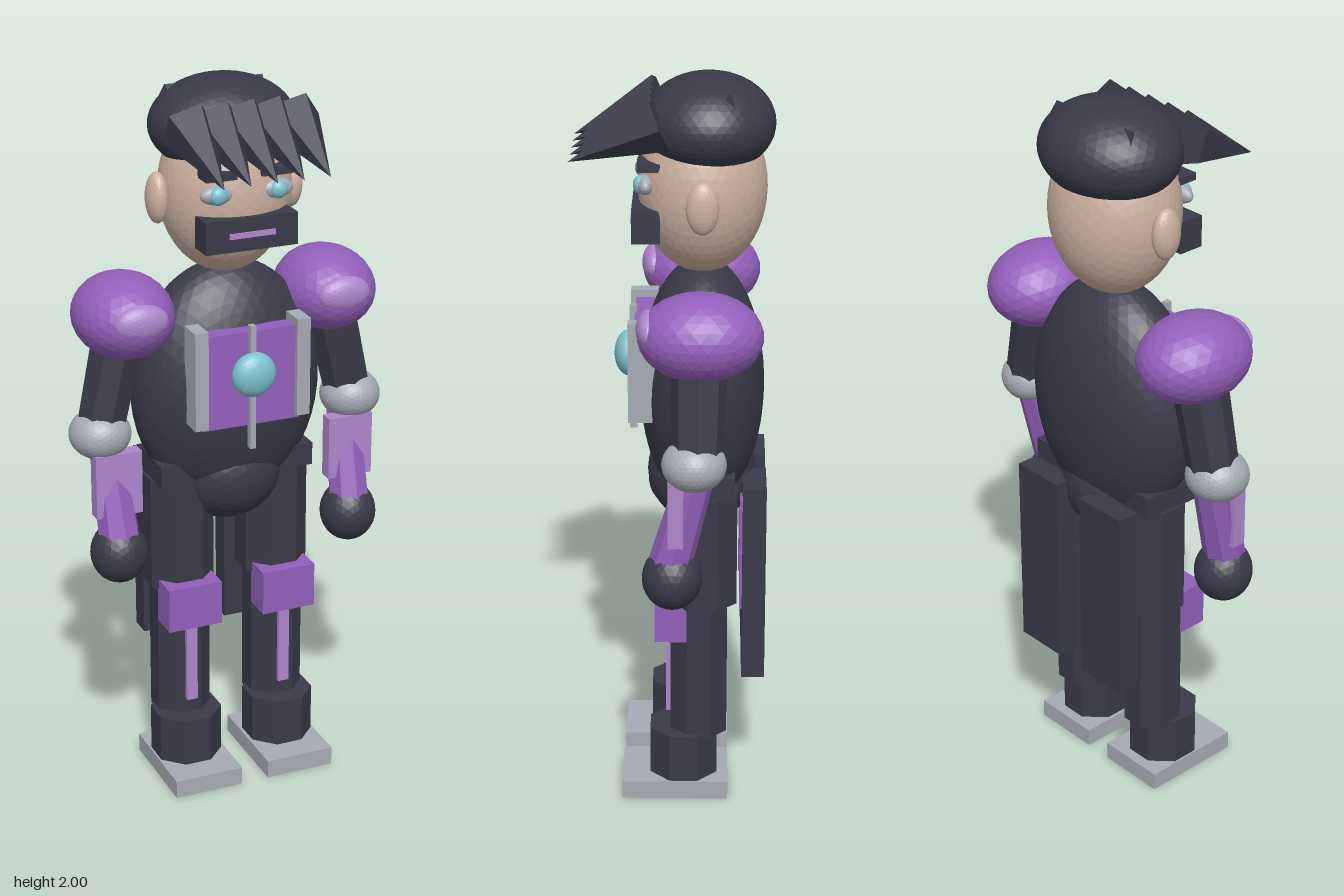
import * as THREE from 'three';

const mat = (name, color) => {
  const m = new THREE.MeshStandardMaterial({ color });
  m.name = name;
  return m;
};

export function createModel() {
  const model = new THREE.Group();
  const dark = mat('charcoal', 0x3a3a48);
  const purple = mat('purple', 0x925fba);
  const lilac = mat('lilac', 0xad86cc);
  const steel = mat('steel', 0xa6aab2);
  const skin = mat('skin', 0xcbb09f);
  const cyan = mat('cyan', 0x7dc0cd);

  const V = (p) => new THREE.Vector3(...p);

  function add(name, geometry, material, pos) {
    const m = new THREE.Mesh(geometry, material);
    m.name = name;
    m.position.set(...pos);
    model.add(m);
    return m;
  }
  // faceted geometry
  function flat(g) {
    const f = g.index ? g.toNonIndexed() : g;
    f.computeVertexNormals();
    return f;
  }
  // faceted ellipsoid
  function blob(name, material, pos, r, detail = 5) {
    const g = new THREE.IcosahedronGeometry(1, detail);
    g.scale(...r);
    return add(name, flat(g), material, pos);
  }
  // box from its lower and upper corners
  function box(name, material, a, b) {
    const size = a.map((v, i) => Math.abs(b[i] - v));
    return add(name, new THREE.BoxGeometry(...size), material, a.map((v, i) => (v + b[i]) / 2));
  }
  // tapered prism running from a to b
  function rod(name, material, a, b, ra, rb, sides = 8, turn = 0) {
    const dir = V(b).sub(V(a));
    const g = new THREE.CylinderGeometry(rb, ra, dir.length(), sides);
    g.rotateY(turn);
    const m = add(name, flat(g), material, a.map((v, i) => (v + b[i]) / 2));
    m.quaternion.setFromUnitVectors(new THREE.Vector3(0, 1, 0), dir.normalize());
    return m;
  }

  // Head, hair and mask
  blob('head', skin, [0, 1.70, -0.08], [0.18, 0.23, 0.17], 7);
  blob('hair', dark, [0, 1.87, -0.095], [0.2, 0.13, 0.175], 7);
  for (let i = -2; i <= 2; i++) {
    const x = i * 0.073;
    rod('fringeSpike', dark, [x, 1.9, 0.03], [x, 1.8, 0.265], 0.075, 0, 5, 0.3);
  }
  for (const x of [-0.1, 0, 0.1]) {
    rod('crownSpike', dark, [x, 1.92, -0.17], [x, 1.86, -0.02], 0.068, 0, 5);
  }
  box('faceMask', dark, [-0.13, 1.577, 0.03], [0.13, 1.665, 0.105]);
  box('maskStrip', lilac, [-0.065, 1.613, 0.102], [0.065, 1.628, 0.109]);

  // Torso, belt and hips
  blob('torso', dark, [0, 1.15, -0.08], [0.27, 0.35, 0.168], 8);
  box('belt', dark, [-0.225, 0.895, -0.17], [0.225, 0.96, 0.01]);
  blob('pelvis', dark, [0, 0.9, -0.08], [0.16, 0.15, 0.147]);

  // Chest plate with its gem
  box('chestPlate', purple, [-0.14, 1.085, 0.05], [0.14, 1.35, 0.1]);
  box('chestRod', steel, [-0.008, 1.02, 0.095], [0.008, 1.37, 0.115]);
  blob('chestGem', cyan, [0, 1.235, 0.118], [0.062, 0.062, 0.038]);

  for (const s of [-1, 1]) {
    // Face details
    blob('ear', skin, [s * 0.192, 1.69, -0.08], [0.03, 0.07, 0.043], 4);
    blob('eyeWhite', steel, [s * 0.083, 1.725, 0.068], [0.048, 0.026, 0.022], 4);
    blob('iris', cyan, [s * 0.085, 1.725, 0.081], [0.025, 0.025, 0.02], 4);
    box('brow', dark, [s * 0.035, 1.766, 0.03], [s * 0.122, 1.786, 0.09]);
    box('chestBar', steel, [s * 0.128, 1.095, 0.04], [s * 0.166, 1.37, 0.115]);

    // Arm
    blob('shoulderPad', purple, [s * 0.295, 1.382, -0.077], [0.136, 0.115, 0.163], 4);
    blob('shoulderHighlight', lilac, [s * 0.292, 1.4, 0.055], [0.075, 0.05, 0.034], 4);
    rod('upperArm', dark, [s * 0.37, 1.06, -0.07], [s * 0.3, 1.37, -0.075], 0.068, 0.075);
    blob('elbow', steel, [s * 0.372, 1.06, -0.062], [0.085, 0.07, 0.085], 5);
    rod('forearm', purple, [s * 0.345, 0.77, 0], [s * 0.355, 1.04, -0.072], 0.058, 0.048);
    box('forearmPlate', lilac, [s * 0.278, 0.838, -0.035], [s * 0.41, 1.018, 0.006]);
    blob('hand', dark, [s * 0.345, 0.728, -0.005], [0.079, 0.087, 0.08], 4);

    // Leg
    const x = s * 0.142;
    const oct = Math.PI / 8;
    rod('thigh', dark, [x, 0.575, -0.085], [x, 0.9, -0.085], 0.1, 0.1, 8, oct);
    rod('shin', dark, [x, 0.18, -0.075], [x, 0.6, -0.075], 0.084, 0.084, 8, oct);
    rod('boot', dark, [x, 0.04, -0.034], [x, 0.19, -0.034], 0.1, 0.1, 8, oct);
    box('sole', steel, [s * 0.04, 0, -0.157], [s * 0.24, 0.052, 0.135]);
    box('kneePad', purple, [s * 0.063, 0.475, -0.042], [s * 0.22, 0.603, 0.045]);
    box('shinStripe', lilac, [s * 0.125, 0.233, -0.01], [s * 0.157, 0.476, 0.015]);

    // Coat tail
    box('coatTail', dark, [s * 0.045, 0.363, -0.255], [s * 0.205, 0.92, -0.192]);
    box('coatTailLining', purple, [s * 0.085, 0.55, -0.193], [s * 0.165, 0.87, -0.185]);
  }
  return model;
}
